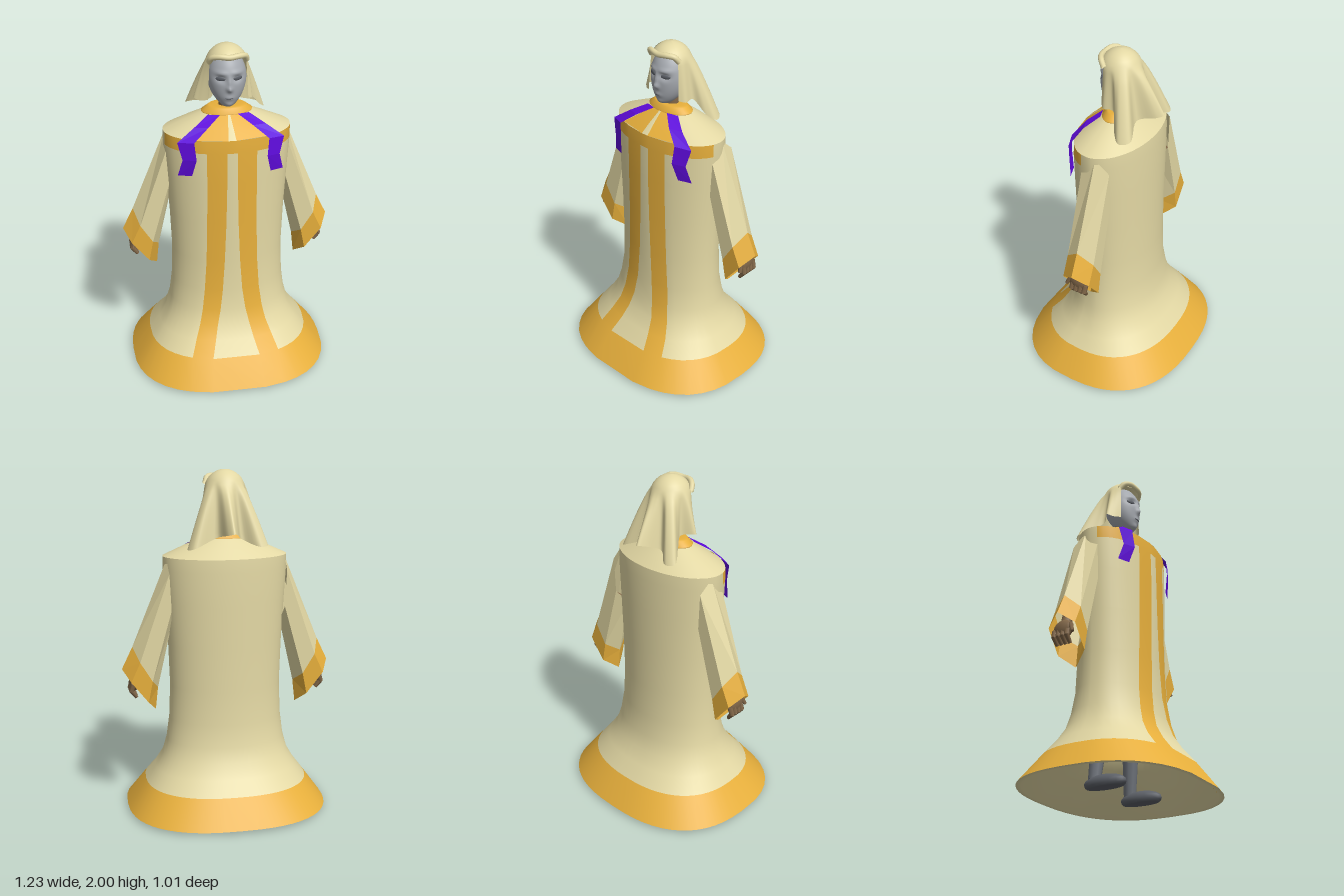
import * as THREE from 'three';

const mat = (name, color, side = THREE.FrontSide) => {
  const m = new THREE.MeshStandardMaterial({ color, side });
  m.name = name;
  return m;
};
const D = THREE.DoubleSide;
const V = (x, y, z) => new THREE.Vector3(x, y, z);
const lerp = THREE.MathUtils.lerp;

// Skin a grid of cross-sections; pick(i, j) gives the material index of a cell
function loft(rows, { closed = false, flat = false, pick = () => 0 } = {}) {
  const n = rows[0].length, cols = closed ? n : n - 1, buckets = [];
  for (let i = 0; i < rows.length - 1; i++) {
    for (let j = 0; j < cols; j++) {
      const a = i * n + j, b = i * n + (j + 1) % n, c = b + n, d = a + n;
      (buckets[pick(i, j)] ??= []).push(a, d, c, a, c, b);
    }
  }
  let g = new THREE.BufferGeometry().setFromPoints(rows.flat());
  g.setIndex(buckets.flat());
  let start = 0;
  buckets.forEach((b, k) => { g.addGroup(start, b.length, k); start += b.length; });
  if (flat) g = g.toNonIndexed();
  g.computeVertexNormals();
  return g;
}

// Robe ring: rounded oval whose front columns follow the stripe edges
const SIDE = 7;
function robeRing([y, hx, hz, inner, outer, p = 1], inset = 0) {
  const X = hx - inset, Z = hz - inset;
  const angle = x => Math.acos(Math.pow(x / X, 1 / p));
  const to = angle(outer), half = [0];
  for (let k = 1; k <= SIDE; k++) half.push(lerp(0.19, to, (k - 1) / (SIDE - 1)));
  half.push(angle(inner));
  const all = [...half, ...half.slice().reverse().map(t => Math.PI - t)];
  for (let k = 1; k < 28; k++) all.push(Math.PI * (1 + k / 28));
  const pw = v => Math.sign(v) * Math.pow(Math.abs(v), p);
  return all.map(t => V(X * pw(Math.cos(t)), y, Z * pw(Math.sin(t))));
}
const isStripe = j => j === SIDE || j === SIDE + 2;
const isFront = j => j >= 1 && j <= 2 * SIDE + 1;

// y, half width, half depth, stripe inner x, stripe outer x, roundness
const ROBE = [
  [0.015, 0.595, 0.511, 0.16, 0.28, 0.8],
  [0.17, 0.482, 0.396, 0.14, 0.26, 0.84],
  [0.25, 0.422, 0.328, 0.115, 0.228, 0.88],
  [0.33, 0.376, 0.278, 0.095, 0.198, 0.92],
  [0.42, 0.352, 0.25, 0.075, 0.178, 0.95],
  [0.55, 0.336, 0.231, 0.058, 0.162],
  [0.75, 0.328, 0.223, 0.045, 0.149],
  [1.0, 0.336, 0.22, 0.035, 0.143],
  [1.25, 0.35, 0.219, 0.03, 0.14],
  [1.44, 0.362, 0.216, 0.03, 0.14],
  [1.515, 0.362, 0.21, 0.03, 0.14],
];

export function createModel() {
  const root = new THREE.Group();
  root.name = 'robedFigure';
  const cream = mat('cream cloth', 0xe3d8a4, D), gold = mat('gold trim', 0xe8b03c, D);
  const purple = mat('purple ribbon', 0x600cde, D), brown = mat('brown skin', 0x806648);
  const grey = mat('grey face', 0xa6aab0), dark = mat('dark grey features', 0x5c6067);
  const legGrey = mat('leg grey', 0x70757d);
  const add = (name, geo, material, parent = root) => {
    const m = new THREE.Mesh(geo, material);
    m.name = name;
    parent.add(m);
    return m;
  };
  const rod = (name, a, b, r0, r1, material, parent, sides = 10) => {
    const m = add(name, new THREE.CylinderGeometry(r1, r0, a.distanceTo(b), sides), material, parent);
    m.position.copy(a).lerp(b, 0.5);
    m.quaternion.setFromUnitVectors(V(0, 1, 0), b.clone().sub(a).normalize());
    return m;
  };
  const ball = (name, pos, size, material, parent = root, w = 16, h = 12) => {
    const m = add(name, new THREE.SphereGeometry(1, w, h), material, parent);
    m.position.set(...pos);
    m.scale.set(...size);
    return m;
  };

  // Robe body with hem, stripes and front chest band
  const last = ROBE.length - 2;
  add('robe', loft(ROBE.map(r => robeRing(r)), {
    closed: true,
    pick: (i, j) => (i === 0 || isStripe(j) || (i === last && isFront(j)) ? 1 : 0),
  }), [cream, gold]);
  const lining = [robeRing(ROBE[0]), ...ROBE.slice(0, 9).map(r => robeRing(r, 0.028))];
  add('robeLining', loft(lining, {
    closed: true, pick: (i, j) => (i > 0 && isStripe(j) ? 1 : 0),
  }), [cream, gold]);

  // Sloping shoulder yoke and collar
  const yoke = [[1.515, 0.362, 0.21, 0.022, 0.2], [1.568, 0.245, 0.148, 0.014, 0.125], [1.618, 0.125, 0.082, 0.006, 0.06]];
  add('shoulderYoke', loft(yoke.map(r => robeRing(r)), {
    closed: true, pick: (i, j) => (isStripe(j) ? 1 : 0),
  }), [cream, gold]);
  const collar = add('collar', new THREE.LatheGeometry(
    [[0.1, 1.6], [0.14, 1.606], [0.145, 1.618], [0.112, 1.642], [0.1, 1.65], [0.05, 1.648]]
      .map(p => new THREE.Vector2(...p)), 40), gold);
  collar.scale.z = 0.6;

  // Paired parts are built on the left side and mirrored
  for (const s of [1, -1]) {
    const side = new THREE.Group();
    side.name = s > 0 ? 'leftSide' : 'rightSide';
    side.scale.x = s;
    root.add(side);

    // Wide hexagonal sleeve with a gold cuff: outer ridge, sides, inner ridge
    const zc = -0.042, w = 0.085;
    const hex = ([ox, oy, ax, ay, bx, by, ix, iy]) => [
      V(ox, oy, zc), V(ax, ay, zc + w), V(bx, by, zc + w),
      V(ix, iy, zc), V(bx, by, zc - w), V(ax, ay, zc - w)];
    add('sleeve', loft([
      [0.345, 1.5, 0.34, 1.43, 0.33, 1.22, 0.32, 1.12],
      [0.55, 1.0, 0.515, 0.925, 0.445, 0.81, 0.405, 0.75],
      [0.613, 0.87, 0.568, 0.81, 0.47, 0.685, 0.42, 0.617],
    ].map(hex), { closed: true, flat: true, pick: i => i }), [cream, gold], side);

    // Forearm and loosely closed hand
    rod('forearm', V(0.42, 1.12, zc), V(0.53, 0.83, zc), 0.04, 0.028, brown, side);
    ball('palm', [0.545, 0.795, -0.045], [0.028, 0.055, 0.062], brown, side, 10, 8);
    for (let k = 0; k < 4; k++) {
      const z = -0.095 + k * 0.027;
      rod('finger', V(0.552, 0.79, z), V(0.566, 0.745, z + 0.004), 0.016, 0.015, brown, side, 6);
      rod('fingertip', V(0.566, 0.752, z + 0.004), V(0.535, 0.71, z + 0.008), 0.015, 0.011, brown, side, 6);
    }
    rod('thumb', V(0.545, 0.82, 0), V(0.562, 0.765, 0.024), 0.015, 0.01, brown, side, 6);

    // Purple ribbon draped over the shoulder
    add('ribbon', loft([
      [V(0.05, 1.618, 0.085), V(0.115, 1.615, 0.065)],
      [V(0.125, 1.572, 0.147), V(0.2, 1.567, 0.122)],
      [V(0.208, 1.508, 0.192), V(0.298, 1.5, 0.156)],
      [V(0.198, 1.405, 0.203), V(0.272, 1.4, 0.172)],
      [V(0.222, 1.3, 0.178), V(0.298, 1.298, 0.15)],
    ], { flat: true }), purple, side);

    // Leg and flat-soled shoe
    rod('thigh', V(0.15, 0.5, -0.03), V(0.12, 1.0, -0.02), 0.055, 0.08, legGrey, side);
    rod('shin', V(0.19, 0.05, -0.06), V(0.15, 0.5, -0.03), 0.035, 0.055, legGrey, side);
    const shoe = ball('shoe', [0.195, 0.024, 0.01], [0.055, 0.048, 0.13], dark, side);
    const sp = shoe.geometry.attributes.position;
    for (let i = 0; i < sp.count; i++) sp.setY(i, Math.max(sp.getY(i), -0.5));
    shoe.geometry.computeVertexNormals();

    // Eye
    ball('eye', [0.046, 1.832, 0.09], [0.029, 0.013, 0.007], dark, side).rotation.y = 0.4;
  }

  // Head sculpted from a sphere: jaw, nose, eye sockets, lips and chin
  const head = new THREE.SphereGeometry(1, 72, 56), hp = head.attributes.position;
  const bump = (x, y, cx, cy, rx, ry) => Math.exp(-(((x - cx) / rx) ** 2) - ((y - cy) / ry) ** 2);
  for (let i = 0; i < hp.count; i++) {
    const u = hp.getX(i), v = hp.getY(i), k = hp.getZ(i), low = Math.min(v, 0) ** 2;
    const x = u * 0.108 * (1 - 0.2 * low), y = 1.815 + v * (v > 0 ? 0.15 : 0.163);
    let z = k * (k > 0 ? 0.113 : 0.1) * (1 - 0.3 * low * (k < 0 ? 1 : 0)) + 0.04 * low;
    if (k > 0) {
      z += 0.018 * bump(x, y, 0, 1.776, 0.015, 0.016) + 0.011 * bump(x, y, 0, 1.81, 0.011, 0.032);
      z -= 0.016 * bump(Math.abs(x), y, 0.045, 1.832, 0.027, 0.018);
      z += 0.007 * bump(Math.abs(x), y, 0.045, 1.864, 0.035, 0.012);
      z += 0.006 * bump(x, y, 0, 1.722, 0.026, 0.014) + 0.008 * bump(x, y, 0, 1.675, 0.025, 0.018);
    }
    hp.setXYZ(i, x, y, z);
  }
  head.computeVertexNormals();
  add('head', head, grey);
  ball('lips', [0, 1.722, 0.108], [0.022, 0.004, 0.006], dark);
  rod('neck', V(0, 1.58, -0.01), V(0, 1.74, 0.0), 0.046, 0.044, brown, root, 20);

  // Headcloth: cap, short rolled brow edge and folded veil
  const cap = add('headclothCap', new THREE.SphereGeometry(1, 32, 12, 0, Math.PI * 2, 0, 1.0), cream);
  cap.position.y = 1.87;
  cap.scale.set(0.118, 0.127, 0.122);
  const brow = new THREE.CatmullRomCurve3([
    V(-0.104, 1.915, 0.045), V(-0.09, 1.945, 0.068), V(-0.055, 1.957, 0.09), V(0, 1.953, 0.1),
    V(0.055, 1.957, 0.09), V(0.09, 1.95, 0.068), V(0.104, 1.92, 0.045)]);
  add('browRoll', new THREE.TubeGeometry(brow, 40, 0.016, 10), cream);

  const hem = new THREE.CatmullRomCurve3([
    V(0.112, 1.7, 0.058), V(0.14, 1.69, 0.03), V(0.135, 1.69, -0.03), V(0.2, 1.6, -0.075),
    V(0.235, 1.565, -0.12), V(0.205, 1.575, -0.175), V(0.07, 1.63, -0.14), V(0.025, 1.655, -0.24),
    V(-0.005, 1.665, -0.27), V(-0.03, 1.655, -0.23), V(-0.07, 1.62, -0.15), V(-0.16, 1.585, -0.215),
    V(-0.21, 1.59, -0.19), V(-0.15, 1.65, -0.1), V(-0.12, 1.69, -0.05), V(-0.185, 1.7, 0.0),
    V(-0.16, 1.69, 0.03), V(-0.112, 1.7, 0.06)]);
  const M = 96, skull = (a, u) => {
    const phi = 0.45 - u * (Math.PI + 0.9);
    return V(0.12 * Math.sin(a) * Math.cos(phi), 1.87 + 0.13 * Math.cos(a), 0.123 * Math.sin(a) * Math.sin(phi));
  };
  // Folds swell out early below the crown, then hang
  const drape = (u, t) => {
    const a = skull(1.17, u), b = hem.getPoint(u), s = t ** 0.85;
    return V(lerp(a.x, b.x, s), lerp(a.y, b.y, t), lerp(a.z, b.z, s));
  };
  const across = fn => Array.from({ length: M + 1 }, (_, j) => fn(j / M));
  const veil = [];
  for (let k = 0; k < 7; k++) veil.push(across(u => skull(0.03 + k * 0.19, u)));
  for (let k = 1; k <= 10; k++) veil.push(across(u => drape(u, k / 10)));
  add('veil', loft(veil), cream);

  return root;
}
